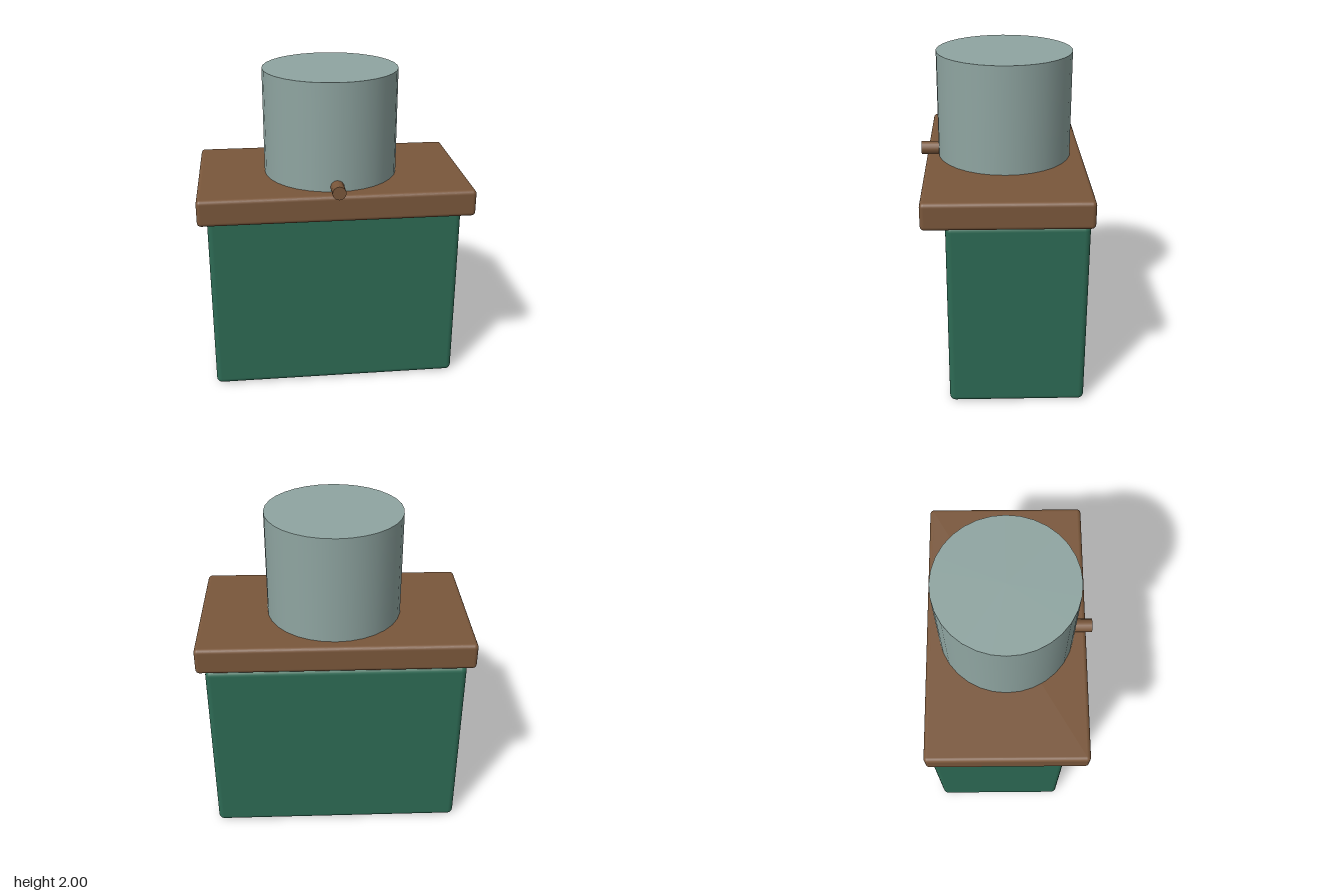
import * as THREE from 'three';
import { RoundedBoxGeometry } from 'three/addons/geometries/RoundedBoxGeometry.js';

export function createModel() {
  const model = new THREE.Group();
  const material = (name, color) => {
    const m = new THREE.MeshStandardMaterial({ color });
    m.name = name;
    return m;
  };
  const green = material('deep green', 0x2d6a54);
  const brown = material('wood brown', 0x7a573b);
  const grey = material('pale grey green', 0x8fa5a1);

  const add = (name, geometry, mat, x, y, z) => {
    const mesh = new THREE.Mesh(geometry, mat);
    mesh.name = name;
    mesh.position.set(x, y, z);
    model.add(mesh);
    return mesh;
  };

  // Cabinet body, set towards the back under the overhanging top
  add('body', new RoundedBoxGeometry(1.56, 1.18, 0.82, 3, 0.035), green, 0, 0.59, -0.075);

  // Overhanging slab
  add('topSlab', new RoundedBoxGeometry(1.66, 0.165, 0.975, 3, 0.025), brown, 0, 1.2625, -0.0165);

  // Upright drum
  add('drum', new THREE.CylinderGeometry(0.415, 0.415, 0.66, 32), grey, 0, 1.67, -0.0165);

  // Small peg sticking out of the drum's front
  const peg = add('peg', new THREE.CylinderGeometry(0.041, 0.041, 0.14, 16), brown, 0, 1.375, 0.435);
  peg.rotation.x = Math.PI / 2;

  return model;
}
